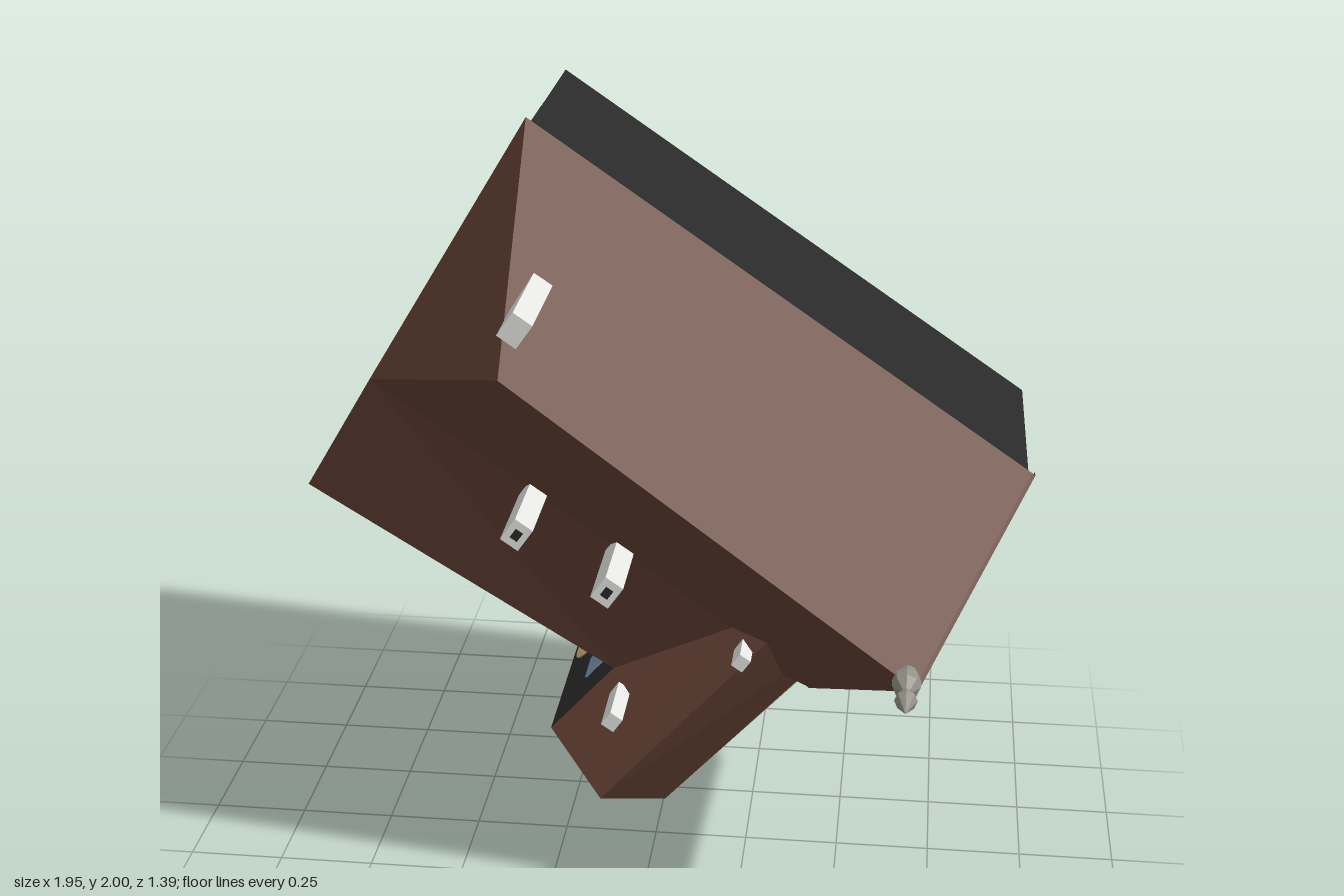
import * as THREE from 'three';

const mat = (name, color) => {
  const m = new THREE.MeshStandardMaterial({ color, side: THREE.DoubleSide, flatShading: true });
  m.name = name;
  return m;
};

export function createModel() {
  const root = new THREE.Group();
  const M = {
    roof: mat('brown roof tile', 0x654235), black: mat('black wall', 0x2a2a2a),
    stone: mat('warm grey wall', 0x949187), plaster: mat('light grey plaster', 0xd4d4d4),
    tan: mat('tan plaster', 0xcdac78), blue: mat('blue glass', 0x7690a6),
    dark: mat('dark glass', 0x262828), white: mat('pale stone', 0xe6e6e4),
    beige: mat('beige trim', 0xf0cc9c), ivory: mat('ivory panel', 0xe2dfd0),
  };
  const add = (name, geo, m, parent = root) => {
    const mesh = new THREE.Mesh(geo, m);
    mesh.name = name;
    parent.add(mesh);
    return mesh;
  };
  // Flat polygon, filled as a fan from its first corner
  const face = (name, m, ...pts) => {
    const v = [];
    for (let i = 1; i < pts.length - 1; i++) v.push(...pts[0], ...pts[i], ...pts[i + 1]);
    const g = new THREE.BufferGeometry();
    g.setAttribute('position', new THREE.Float32BufferAttribute(v, 3));
    g.computeVertexNormals();
    add(name, g, m);
  };
  // Thin piece on the wall p-q, between two values of x (axis 0) or y (axis 1) and two heights
  const onWall = (mesh, p, q, axis, c, z) => {
    const dx = q[0] - p[0], dy = q[1] - p[1], u = (c - p[axis]) / (q[axis] - p[axis]);
    mesh.position.set(p[0] + u * dx, p[1] + u * dy, z);
    mesh.rotation.z = Math.atan2(dy, dx);
  };
  const plate = (name, m, p, q, axis, a, b, z0, z1, t = 0.009) => {
    const len = Math.abs((b - a) / (q[axis] - p[axis])) * Math.hypot(q[0] - p[0], q[1] - p[1]);
    onWall(add(name, new THREE.BoxGeometry(len, t, z1 - z0), m), p, q, axis, (a + b) / 2, (z0 + z1) / 2);
  };

  // Roof corners; heights run along z
  const A = [-0.33, 2.0, -0.05], B = [0.97, 1.09, -0.09], C = [0.40, 0.43, -0.10];
  const P = [-0.31, 1.52, 0.53], R = [0.69, 0.77, 0.53], Q = [-0.76, 1.29, -0.05];
  const G = [-0.97, 0.94, -0.15], F = [-0.14, 0.41, -0.18], E = [-0.32, 0.21, -0.18];
  const D = [0.005, 0, -0.18], T = [-0.15, 0.12, 0.04], V = [0.2, 0.62, -0.05], W = [0.3, 0.62, 0.03];
  const K = [0.335, 0.46, -0.10], wingEave = [0.40, 0.43, -0.18];
  face('mainRoofBack', M.roof, A, B, R, P);
  face('mainRoofFront', M.roof, R, P, Q, V, W, K, C);
  face('hipEnd', M.roof, A, P, Q);
  face('leanToRoof', M.roof, Q, G, F, V);
  face('wingRoofOuter', M.roof, T, E, F, V, W);
  face('wingRoofInner', M.roof, T, W, K, wingEave, D);

  // Walls
  const low = ([x, y], z = -0.7) => [x, y, z];
  const A0 = [-0.33, 1.97, -0.04], B0 = [0.96, 1.09, -0.085], G0 = [-0.955, 0.95, -0.15];
  const C0 = [0.42, 0.455, -0.09];
  face('longWall', M.black, low(A0), low(B0), B0, A0);
  face('gableWall', M.plaster, R, B0, low(B0), low(C0, -0.68), C0);
  face('windowWall', M.stone, low(G0), low(A0), A0, [-0.75, 1.285, -0.055], G0);
  face('leanToWall', M.stone, low(G0), low(F), F, G0);
  face('wingSideWall', M.black, low(F), low(E), E, F);
  face('wingEndWall', M.black, T, E, low(E), low(D, -0.67), D);
  face('wingTanWall', M.tan, low(D, -0.67), low(C0, -0.67), low(C0, -0.17), D);
  face('passageFloor', M.tan, low(D, -0.67), [0.14, 0.152, -0.67], [-0.19, 0.355, -0.698], low(E, -0.698));

  // Barge boards along the gable edge
  const board = (a, b) => {
    const o = ([x, y, z], dz) => [x + 0.008, y - 0.007, z + dz];
    face('bargeBoard', M.roof, o(a, 0), o(b, 0), o(b, -0.028), o(a, -0.028));
    face('bargeBoardTop', M.roof, a, b, o(b, 0), o(a, 0));
  };
  board(B, R);
  board(R, C);

  // Two rows of windows on the tall side wall
  for (const x of [-0.885, -0.81, -0.70, -0.605, -0.515, -0.4])
    plate('darkWindow', M.dark, G0, A0, 0, x - 0.027, x + 0.027, -0.56, -0.42);
  for (const x of [-0.835, -0.705, -0.61, -0.515, -0.4]) {
    plate('blueWindow', M.blue, G0, A0, 0, x - 0.029, x + 0.029, -0.335, -0.18);
    plate('windowShade', M.dark, G0, A0, 0, x + 0.012, x + 0.029, -0.21, -0.18, 0.0096);
  }
  plate('smallWindow', M.dark, G0, A0, 0, -0.685, -0.655, -0.69, -0.62);
  plate('smallWindow', M.dark, G0, A0, 0, -0.41, -0.385, -0.68, -0.64);
  plate('paleSign', M.white, G0, A0, 0, -0.59, -0.565, -0.68, -0.65);
  plate('downPipe', M.dark, G0, A0, 0, -0.892, -0.887, -0.7, -0.61);

  // Gable wall details: material, y range, z range
  const gable = [
    ['window', M.dark, 0.98, 1.06, -0.205, -0.115], ['window', M.dark, 1.0, 1.065, -0.405, -0.315],
    ['window', M.dark, 1.03, 1.085, -0.59, -0.46], ['window', M.dark, 0.95, 1.0, -0.59, -0.46],
    ['paleSign', M.white, 1.03, 1.065, -0.67, -0.64],
    ['blueWindow', M.blue, 0.92, 0.97, -0.66, -0.60], ['brownShutter', M.roof, 0.67, 0.725, -0.09, 0],
    ['ivoryPanel', M.ivory, 0.67, 0.73, -0.27, -0.17], ['brownShutter', M.roof, 0.82, 0.875, -0.67, -0.57],
    ['brownSlot', M.roof, 0.64, 0.7, 0.045, 0.065], ['slot', M.dark, 0.585, 0.605, 0.045, 0.075],
    ['slot', M.dark, 0.585, 0.605, -0.2, -0.165], ['slot', M.dark, 0.68, 0.70, -0.16, -0.13],
    ['paleShutter', M.plaster, 0.52, 0.61, -0.415, -0.345], ['paleShutter', M.plaster, 0.52, 0.61, -0.55, -0.47],
    ['paleWindow', M.white, 0.515, 0.58, -0.67, -0.58], ['panelFrame', M.roof, 0.768, 0.88, -0.54, -0.33],
  ];
  for (const [n, m, y0, y1, z0, z1] of gable) plate(n, m, C0, B0, 1, y0, y1, z0, z1);
  plate('panelField', M.plaster, C0, B0, 1, 0.771, 0.876, -0.537, -0.337, 0.0098);

  // Tan wing wall details
  for (const [y0, y1] of [[0.335, 0.395], [0.215, 0.275], [0.095, 0.13]])
    plate('paleShutter', M.white, D, C0, 1, y0, y1, -0.38, -0.23);
  for (const y of [0.37, 0.215]) plate('window', M.dark, D, C0, 1, y, y + 0.055, -0.585, -0.46);
  plate('windowSill', M.beige, D, C0, 1, 0.367, 0.39, -0.585, -0.46, 0.0096);
  plate('windowPane', M.blue, D, C0, 1, 0.22, 0.24, -0.52, -0.465, 0.0096);
  plate('hatch', M.stone, D, C0, 1, 0.155, 0.185, -0.57, -0.545);
  plate('doorPost', M.dark, D, C0, 1, 0.002, 0.15, -0.515, -0.455);
  plate('gate', M.dark, D, C0, 1, 0.05, 0.145, -0.66, -0.515);
  plate('gateTrim', M.beige, D, C0, 1, 0.035, 0.05, -0.66, -0.515);

  // Window and round-headed arch on the outer wing wall
  plate('wingBlueWindow', M.blue, E, F, 1, 0.30, 0.36, -0.44, -0.32);
  plate('arch', M.tan, E, F, 1, 0.225, 0.315, -0.695, -0.6);
  onWall(add('archHead', new THREE.CylinderGeometry(0.06, 0.06, 0.0088, 20), M.tan), E, F, 1, 0.27, -0.6);

  // Chimneys: x, y, width, depth, bottom, top
  const stacks = [
    [-0.262, 1.655, 0.055, 0.07, 0.26, 0.56], [-0.33, 0.99, 0.055, 0.07, -0.055, 0.23],
    [-0.10, 0.84, 0.055, 0.07, -0.055, 0.23], [0.235, 0.58, 0.035, 0.04, -0.02, 0.08],
    [-0.115, 0.365, 0.04, 0.045, -0.13, 0.05],
  ];
  for (const [x, y, w, d, z0, z1] of stacks) {
    const c = new THREE.Group();
    c.name = 'chimney';
    c.position.set(x, y, (z0 + z1) / 2);
    c.rotation.z = -0.61;
    root.add(c);
    add('stack', new THREE.BoxGeometry(w, d, z1 - z0), M.white, c);
    if (z1 === 0.23)
      add('flue', new THREE.BoxGeometry(w * 0.4, d * 0.4, 0.006), M.dark, c).position.z = (z1 - z0) / 2;
  }

  // Turned piece whose axis points along z
  const turned = (name, pts, sides, m, x, y) => {
    const g = new THREE.LatheGeometry(pts.map(p => new THREE.Vector2(...p)), sides).rotateX(Math.PI / 2);
    add(name, g, m).position.set(x, y, 0);
  };
  turned('gableFinial', [[0, 0.47], [0.022, 0.48], [0.036, 0.53], [0.034, 0.56], [0.012, 0.59],
    [0.028, 0.63], [0, 0.695]], 8, M.stone, 0.67, 0.79);

  // Oriel bay on the gable wall
  turned('orielRoof', [[0.078, -0.50], [0.05, -0.45], [0, -0.39]], 8, M.stone, 0.612, 0.705);
  turned('orielBody', [[0.068, -0.60], [0.068, -0.50], [0.078, -0.50]], 8, M.white, 0.612, 0.705);
  turned('orielFoot', [[0, -0.67], [0.04, -0.65], [0.075, -0.60], [0.068, -0.60]], 8, M.plaster, 0.612, 0.705);
  return root;
}
